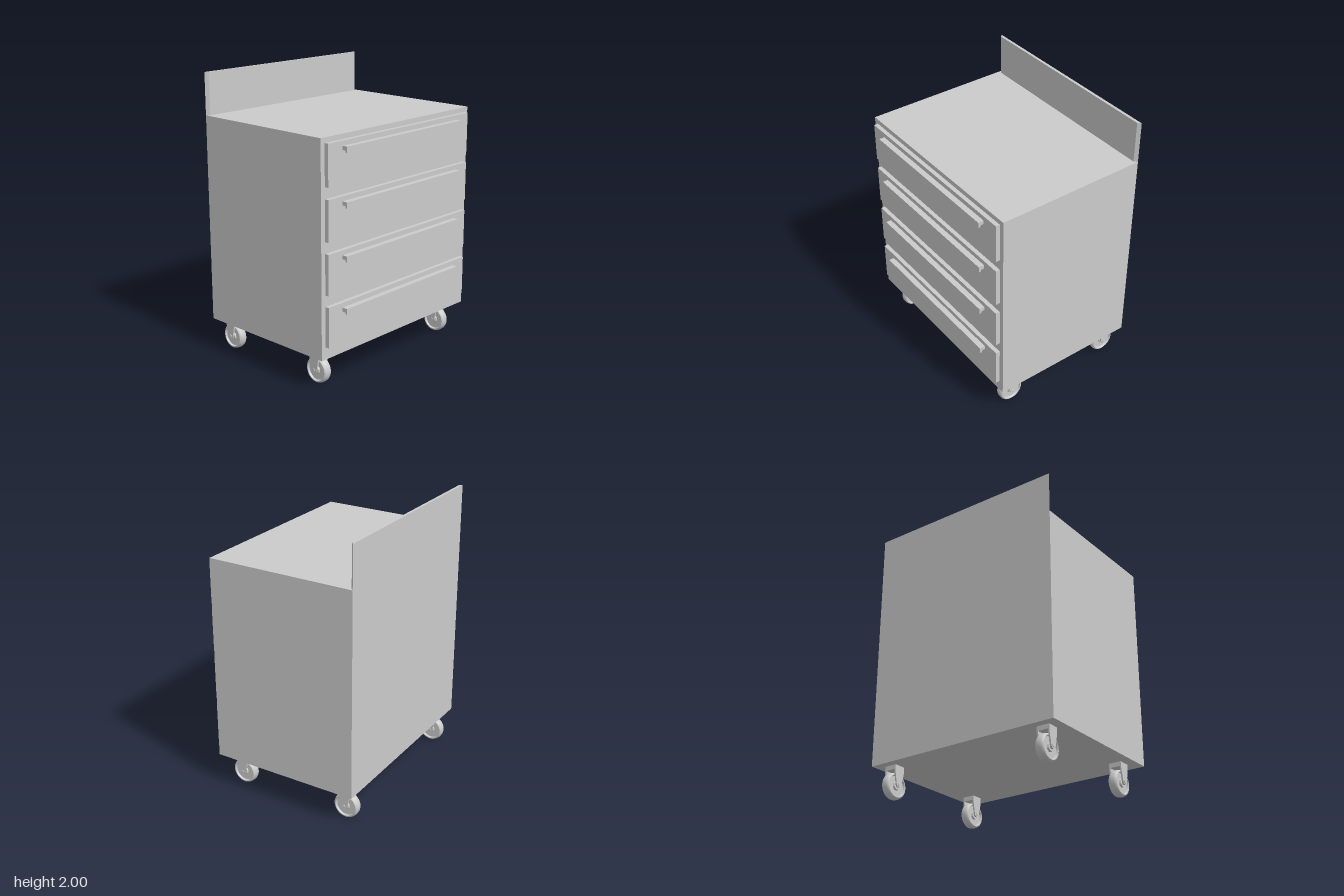
import * as THREE from 'three';
import { toCreasedNormals } from 'three/addons/utils/BufferGeometryUtils.js';

const material = new THREE.MeshStandardMaterial({ color: 0xcccccc });

function part(name, geometry, x = 0, y = 0, z = 0) {
  const mesh = new THREE.Mesh(geometry, material);
  mesh.name = name;
  mesh.position.set(x, y, z);
  return mesh;
}

const polygon = (points) => new THREE.Shape(points.map(([x, y]) => new THREE.Vector2(x, y)));

// Extrude a (z, y) outline along x, centred on x = 0
function extrudeAlongX(shape, width, curveSegments = 12) {
  return new THREE.ExtrudeGeometry(shape, { depth: width, bevelEnabled: false, curveSegments })
    .translate(0, 0, -width / 2).rotateY(-Math.PI / 2);
}

// Drawer front with an L-section pull rail; origin at the middle of its top edge
function createDrawer() {
  const drawer = new THREE.Group();
  drawer.name = 'drawer';
  drawer.add(part('drawerFront', new THREE.BoxGeometry(1.416, 0.28, 0.03), 0, -0.14, 0.015));
  const profile = polygon([[0.03, -0.06], [0.055, -0.06], [0.055, -0.073], [0.07, -0.073], [0.07, -0.033], [0.03, -0.033]]);
  drawer.add(part('drawerHandle', extrudeAlongX(profile, 1.16)));
  return drawer;
}

// Swivel caster standing on y = 0
function createCaster() {
  const caster = new THREE.Group();
  caster.name = 'caster';
  const axleY = 0.0925;

  // Wheel: rounded tread, rim step, recessed web and raised hub
  const half = [[0.012, 0.03], [0.026, 0.03], [0.03, 0.018], [0.07, 0.018], [0.075, 0.031],
    [0.081, 0.031], [0.087, 0.026], [0.091, 0.016], [0.0925, 0]];
  const section = [...half, ...half.slice(0, -1).reverse().map(([r, h]) => [r, -h])];
  const outline = section.reverse().map(([r, h]) => new THREE.Vector2(r, h));
  const wheel = toCreasedNormals(new THREE.LatheGeometry(outline, 40), 0.6).rotateZ(Math.PI / 2);
  caster.add(part('wheel', wheel, 0, axleY, 0));

  // Tapered fork cheeks with rounded lower ends
  const cheek = new THREE.Shape();
  cheek.moveTo(0.042, 0.228);
  cheek.lineTo(-0.042, 0.228);
  cheek.lineTo(-0.042, 0.185);
  cheek.lineTo(-0.024, 0.098);
  cheek.absarc(0, 0.101, 0.024, Math.PI, Math.PI * 2, false);
  cheek.lineTo(0.042, 0.185);
  const cheekGeometry = toCreasedNormals(extrudeAlongX(cheek, 0.011), 0.6);
  for (const side of [-1, 1]) caster.add(part('forkCheek', cheekGeometry, side * 0.042, 0, 0));

  // Fork crown and axle
  caster.add(part('forkCrown', new THREE.BoxGeometry(0.09, 0.032, 0.084), 0, 0.214, 0));
  const axle = new THREE.CylinderGeometry(0.012, 0.012, 0.104, 20).rotateZ(Math.PI / 2);
  caster.add(part('axle', axle, 0, axleY + 0.005, 0));
  return caster;
}

export function createModel() {
  const model = new THREE.Group();
  model.name = 'toolCabinet';

  // Cabinet body
  model.add(part('cabinetBody', new THREE.BoxGeometry(1.486, 1.475, 1.09), 0, 0.9675, -0.035));

  // Upright back panel with mitred ends
  const plan = polygon([[-0.743, 0.58], [-0.722, 0.56], [0.722, 0.56], [0.743, 0.58]]);
  const panel = new THREE.ExtrudeGeometry(plan, { depth: 0.295, bevelEnabled: false }).rotateX(-Math.PI / 2);
  model.add(part('backPanel', panel, 0, 1.705, 0));

  // Four drawers
  for (let i = 0; i < 4; i++) {
    const drawer = createDrawer();
    drawer.position.set(0, 1.67 - i * 0.3577, 0.51);
    model.add(drawer);
  }

  // Casters at the corners
  for (const x of [-0.625, 0.625]) {
    for (const z of [0.365, -0.48]) {
      const caster = createCaster();
      caster.position.set(x, 0, z);
      model.add(caster);
    }
  }
  return model;
}
